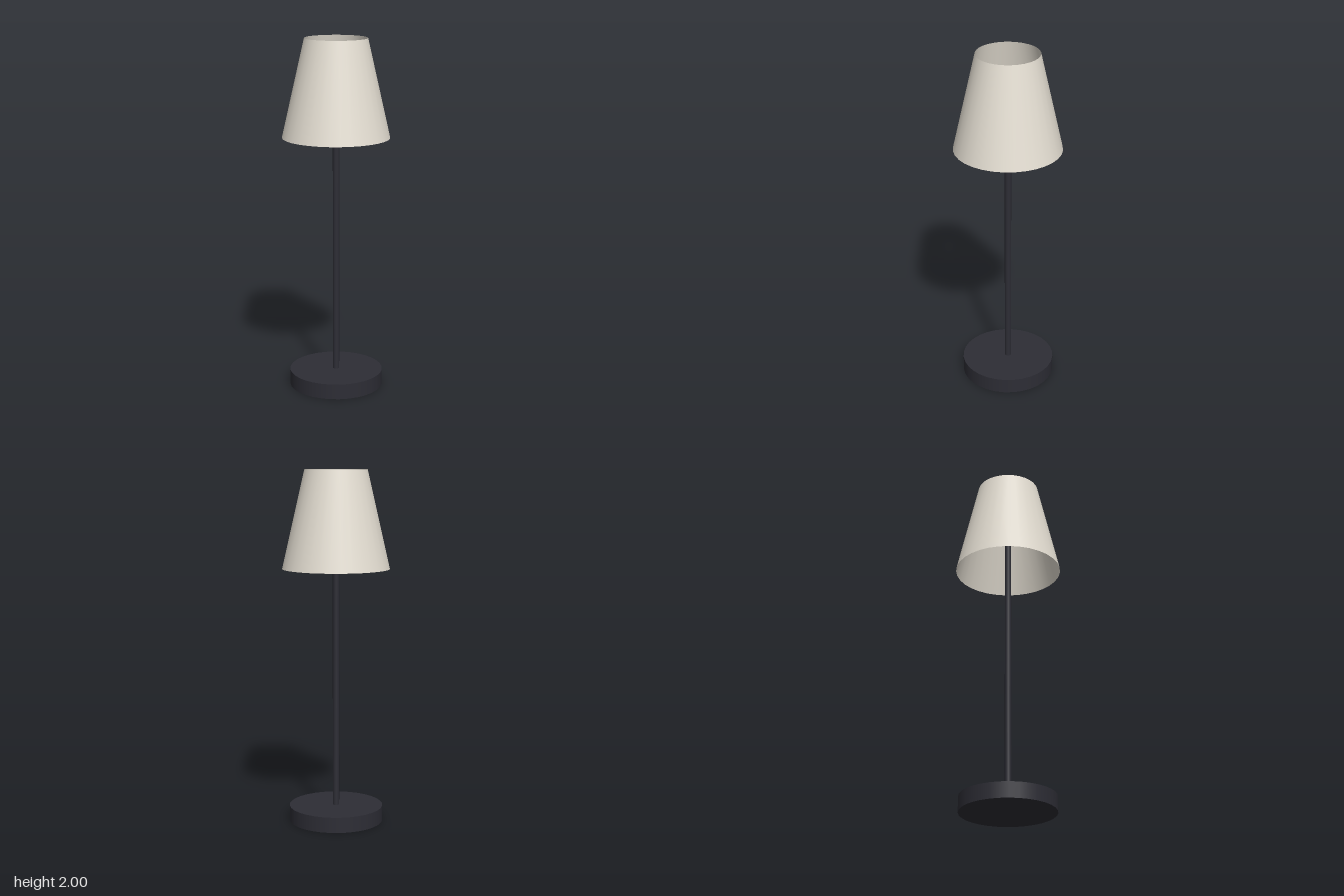
import * as THREE from 'three';

export function createModel() {
  const metal = new THREE.MeshStandardMaterial({ color: 0x2d2d35 });
  metal.name = 'dark metal';
  const fabric = new THREE.MeshStandardMaterial({ color: 0xe4ded2, side: THREE.DoubleSide });
  fabric.name = 'cream fabric';

  const lamp = new THREE.Group();
  lamp.name = 'tableLamp';

  // Adds a round part standing between two heights
  function addRound(name, material, topRadius, bottomRadius, y0, y1, sides, open = false) {
    const geometry = new THREE.CylinderGeometry(topRadius, bottomRadius, y1 - y0, sides, 1, open);
    const mesh = new THREE.Mesh(geometry, material);
    mesh.name = name;
    mesh.position.y = (y0 + y1) / 2;
    lamp.add(mesh);
  }

  // Weighted disc, slim pole and open tapered shade
  addRound('base', metal, 0.267, 0.267, 0, 0.088, 32);
  addRound('pole', metal, 0.0187, 0.0187, 0.088, 1.72, 16);
  addRound('shade', fabric, 0.176, 0.302, 1.45, 2, 32, true);

  return lamp;
}
